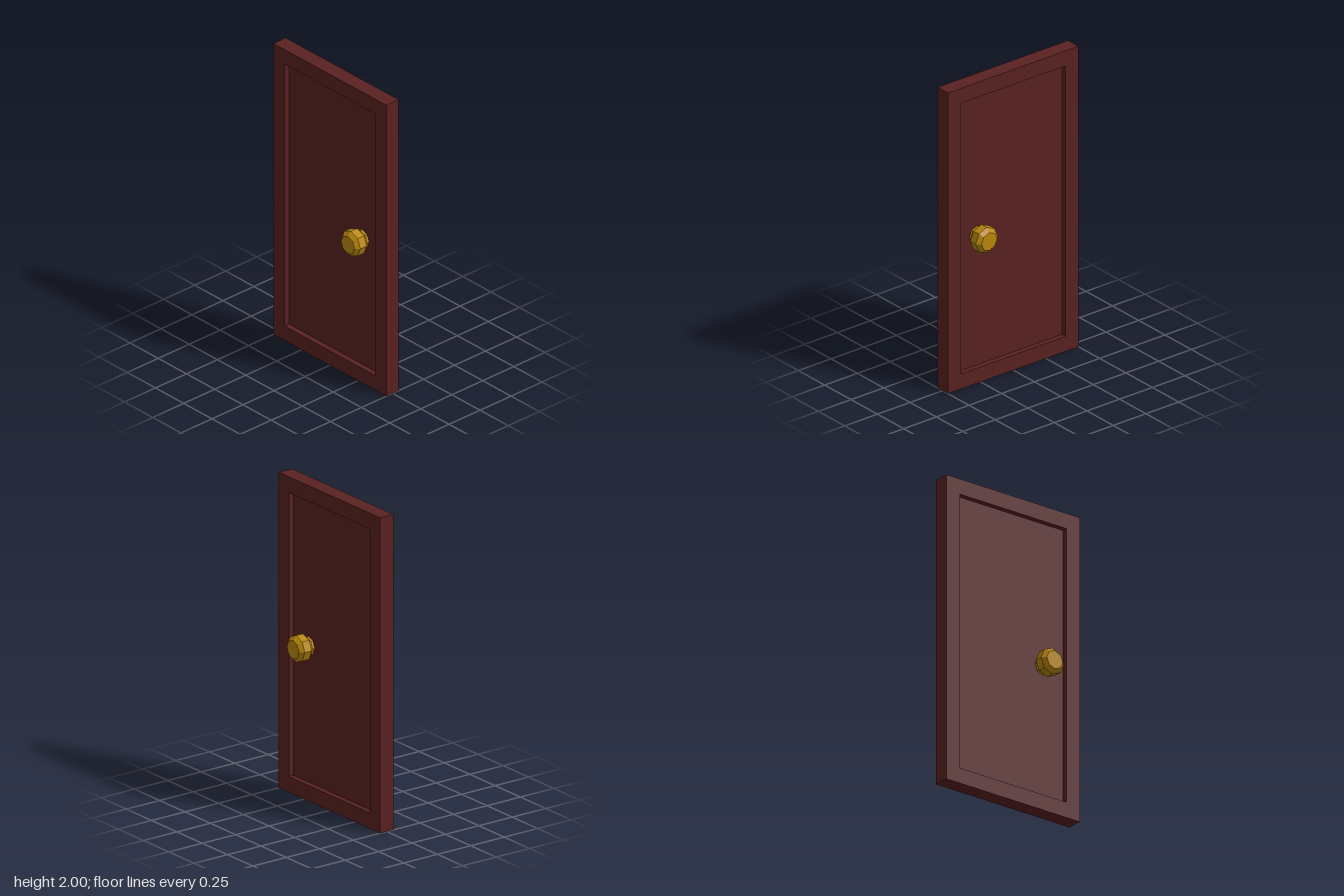
import * as THREE from 'three';

const wood = new THREE.MeshStandardMaterial({ color: 0x5a2121, flatShading: true });
const brass = new THREE.MeshStandardMaterial({ color: 0xb8860b, flatShading: true });

const WIDTH = 1, HEIGHT = 2, DEPTH = 0.1;
const RAIL = 0.1;          // width of the raised border
const PANEL_DEPTH = 0.03;  // thickness of the recessed panel

function rectangle(PathType, halfWidth, bottom, top) {
  return new PathType([
    new THREE.Vector2(-halfWidth, bottom),
    new THREE.Vector2(halfWidth, bottom),
    new THREE.Vector2(halfWidth, top),
    new THREE.Vector2(-halfWidth, top),
  ]);
}

function addMesh(parent, name, geometry, material) {
  const mesh = new THREE.Mesh(geometry, material);
  mesh.name = name;
  parent.add(mesh);
  return mesh;
}

export function createModel() {
  const door = new THREE.Group();
  door.name = 'door';

  // Raised border, open in the middle
  const outline = rectangle(THREE.Shape, WIDTH / 2, 0, HEIGHT);
  outline.holes.push(rectangle(THREE.Path, WIDTH / 2 - RAIL, RAIL, HEIGHT - RAIL));
  const frame = new THREE.ExtrudeGeometry(outline, { depth: DEPTH, bevelEnabled: false });
  addMesh(door, 'doorFrame', frame.translate(0, 0, -DEPTH / 2), wood);

  // Thin panel, recessed on both sides
  const panel = new THREE.BoxGeometry(WIDTH - 2 * RAIL, HEIGHT - 2 * RAIL, PANEL_DEPTH);
  addMesh(door, 'doorPanel', panel, wood).position.y = HEIGHT / 2;

  // Eight-sided knobs on both faces: neck, bevel, rim, bevel, flat cap
  const profile = [
    [0.06, 0.01], [0.06, 0.031], [0.085, 0.057],
    [0.085, 0.108], [0.06, 0.133], [0, 0.133],
  ].map(([radius, out]) => new THREE.Vector2(radius, out));
  const knobGeometry = new THREE.LatheGeometry(profile, 8);
  for (const [name, side] of [['frontKnob', 1], ['backKnob', -1]]) {
    const knob = addMesh(door, name, knobGeometry, brass);
    knob.position.set(0.25, 0.965, 0);
    knob.rotation.x = side * Math.PI / 2;
  }

  return door;
}
